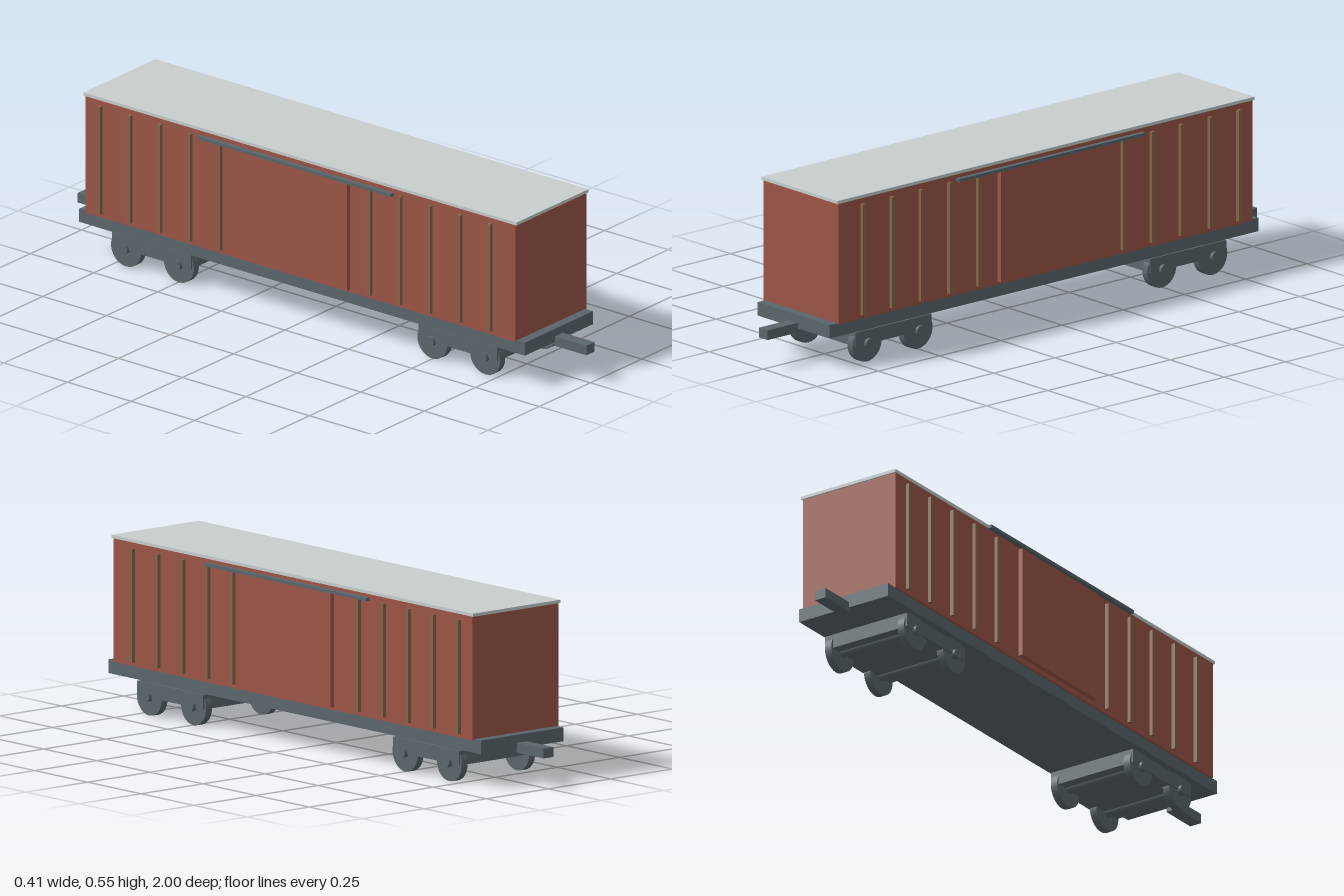
import * as THREE from 'three';

const red = new THREE.MeshStandardMaterial({ color: 0x9b5546 });
const steel = new THREE.MeshStandardMaterial({ color: 0x5a666c });
const pale = new THREE.MeshStandardMaterial({ color: 0xc8cdce });
const tan = new THREE.MeshStandardMaterial({ color: 0x86644c });

// Box given by its extents on each axis
function box(name, material, [x0, x1], [y0, y1], [z0, z1]) {
  const mesh = new THREE.Mesh(new THREE.BoxGeometry(x1 - x0, y1 - y0, z1 - z0), material);
  mesh.position.set((x0 + x1) / 2, (y0 + y1) / 2, (z0 + z1) / 2);
  mesh.name = name;
  return mesh;
}

// Cylinder lying along x
function roller(name, radius, length, x, y, z) {
  const geometry = new THREE.CylinderGeometry(radius, radius, length, 32).rotateZ(Math.PI / 2);
  const mesh = new THREE.Mesh(geometry, steel);
  mesh.position.set(x, y, z);
  mesh.name = name;
  return mesh;
}

// Bogie: frame block with two wheelsets
function createBogie(z) {
  const bogie = new THREE.Group();
  bogie.name = 'bogie';
  bogie.position.z = z;
  bogie.add(box('bogieFrame', steel, [-0.153, 0.153], [0.057, 0.102], [-0.155, 0.155]));
  for (const dz of [-0.104, 0.104]) {
    bogie.add(roller('axle', 0.016, 0.326, 0, 0.06, dz));
    for (const side of [-1, 1]) bogie.add(roller('wheel', 0.059, 0.024, side * 0.136, 0.059, dz));
  }
  return bogie;
}

// Side fittings: ribs, sliding door and door rail
function createSide(side) {
  const group = new THREE.Group();
  group.name = side > 0 ? 'leftSide' : 'rightSide';
  const span = (a, b) => (side > 0 ? [a, b] : [-b, -a]);
  for (let i = 0; i < 14; i++) {
    const z = -0.785 + i * 0.118;
    if (Math.abs(z) < 0.22) continue; // door opening
    group.add(box('rib', tan, span(0.17, 0.185), [0.163, 0.518], [z - 0.006, z + 0.006]));
  }
  group.add(box('door', red, span(0.179, 0.194), [0.162, 0.521], [-0.2, 0.2]));
  group.add(box('doorRail', steel, span(0.19, 0.205), [0.52, 0.53], [-0.38, 0.38]));
  return group;
}

export function createModel() {
  const wagon = new THREE.Group();
  wagon.name = 'boxWagon';

  // Underframe, body and roof
  wagon.add(box('underframe', steel, [-0.166, 0.166], [0.11, 0.153], [-0.876, 0.876]));
  wagon.add(box('body', red, [-0.173, 0.173], [0.15, 0.536], [-0.845, 0.845]));
  wagon.add(box('roof', pale, [-0.176, 0.176], [0.536, 0.546], [-0.851, 0.851]));

  // Couplers at both ends
  wagon.add(box('frontCoupler', steel, [-0.02, 0.02], [0.097, 0.128], [0.872, 1]));
  wagon.add(box('rearCoupler', steel, [-0.02, 0.02], [0.097, 0.128], [-1, -0.872]));

  for (const side of [-1, 1]) {
    wagon.add(createSide(side));
    wagon.add(createBogie(side * 0.602));
  }
  return wagon;
}
